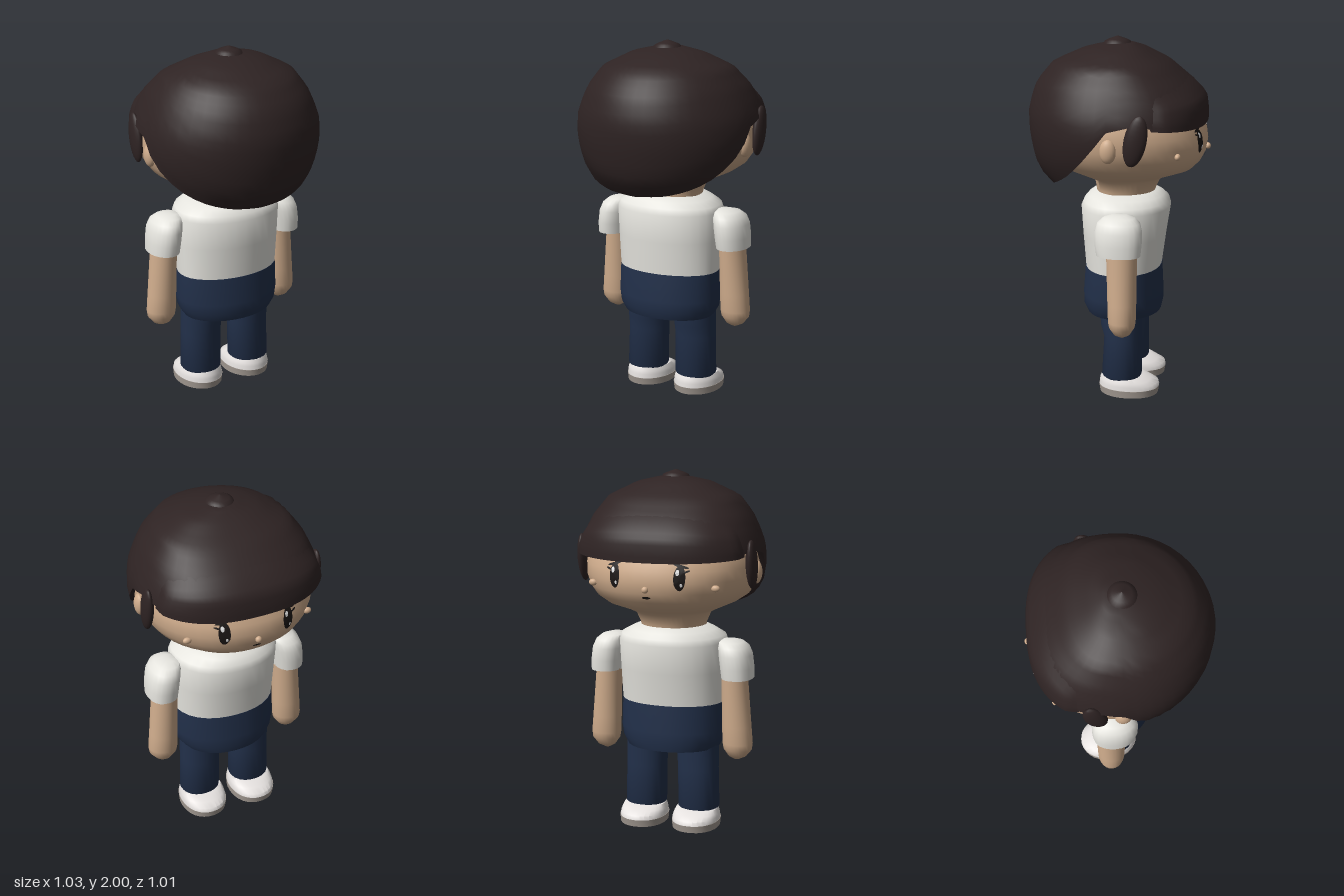
import * as THREE from 'three';
import { toCreasedNormals } from 'three/addons/utils/BufferGeometryUtils.js';

const mat = (name, color, side = THREE.FrontSide) => {
  const m = new THREE.MeshStandardMaterial({ color, side });
  m.name = name;
  return m;
};

// Half width, back depth and front depth of a profile [y, halfWidth, back, front] at height y
function section(rows, y) {
  let i = 0;
  while (i < rows.length - 2 && y > rows[i + 1][0]) i++;
  const a = rows[i], b = rows[i + 1];
  const t = THREE.MathUtils.clamp((y - a[0]) / (b[0] - a[0]), 0, 1);
  return [1, 2, 3].map((k) => a[k] + (b[k] - a[k]) * t);
}

// Point on a rounded section; angle 0 is the back (+z), PI is the face side (-z)
function ringPoint([w, back, front], angle, power = 2) {
  const s = Math.sin(angle), c = Math.cos(angle);
  const n = c < 0 ? power : 2;
  const r = Math.pow(Math.pow(Math.abs(s), n) + Math.pow(Math.abs(c), n), -1 / n);
  return [w * s * r, (c < 0 ? front : back) * c * r];
}

// Triangulate a grid of points (rows upward, columns anticlockwise), with optional caps
function gridGeometry(grid, capped, crease = 0.9) {
  const pos = [], idx = [], cols = grid[0].length;
  grid.forEach((row) => row.forEach((p) => pos.push(...p)));
  for (let i = 0; i < grid.length - 1; i++)
    for (let j = 0; j < cols - 1; j++) {
      const a = i * cols + j, c = a + cols;
      idx.push(a, a + 1, c, a + 1, c + 1, c);
    }
  if (capped)
    [0, grid.length - 1].forEach((r) => {
      const mid = pos.length / 3, sum = [0, 0, 0];
      for (let j = 0; j < cols - 1; j++) grid[r][j].forEach((v, k) => { sum[k] += v / (cols - 1); });
      pos.push(...sum);
      for (let j = 0; j < cols - 1; j++) {
        const a = r * cols + j;
        if (r) idx.push(a, a + 1, mid); else idx.push(a + 1, a, mid);
      }
    });
  const g = new THREE.BufferGeometry();
  g.setAttribute('position', new THREE.Float32BufferAttribute(pos, 3));
  g.setIndex(idx);
  return toCreasedNormals(g, crease);
}

// Closed body from rows [y, halfWidth, back, front, centreX]
function loft(rows, power = 2, segs = 32) {
  return gridGeometry(rows.map(([y, w, b, f, cx = 0]) =>
    Array.from({ length: segs + 1 }, (_, j) => {
      const [x, z] = ringPoint([w, b, f], (j / segs) * Math.PI * 2, power);
      return [x + cx, y, z];
    })), true);
}

const HEAD = [
  [1.1, 0.18, 0.12, 0.19], [1.16, 0.185, 0.13, 0.2], [1.22, 0.21, 0.14, 0.23], [1.245, 0.26, 0.2, 0.28],
  [1.29, 0.36, 0.3, 0.41], [1.33, 0.42, 0.36, 0.45], [1.38, 0.455, 0.4, 0.476], [1.44, 0.475, 0.43, 0.486],
  [1.5, 0.478, 0.44, 0.478], [1.56, 0.47, 0.44, 0.45], [1.7, 0.41, 0.4, 0.38], [1.83, 0.28, 0.28, 0.2],
  [1.9, 0.1, 0.1, 0.08],
];
const HAIR = [
  [1.19, 0.39, 0.365, 0.4], [1.25, 0.425, 0.43, 0.44], [1.32, 0.465, 0.465, 0.46], [1.4, 0.495, 0.485, 0.465],
  [1.5, 0.51, 0.5, 0.467], [1.6, 0.502, 0.503, 0.468], [1.68, 0.473, 0.485, 0.458], [1.76, 0.435, 0.455, 0.395],
  [1.86, 0.36, 0.37, 0.275], [1.935, 0.205, 0.2, 0.14], [1.965, 0.07, 0.07, 0.07], [1.968, 0.001, 0.001, 0.001],
];
// Lower hair edge [angle from the back in degrees, y]
const EDGE = [[0, 1.19], [25, 1.205], [42, 1.235], [57, 1.28], [70, 1.36], [80, 1.45],
  [90, 1.56], [105, 1.59], [125, 1.575], [180, 1.555]];

function hairEdge(angle) {
  const d = Math.abs(THREE.MathUtils.radToDeg(angle));
  const i = Math.max(1, EDGE.findIndex((e) => e[0] >= d - 1e-6));
  const [a, b] = [EDGE[i - 1], EDGE[i]];
  return a[1] + ((b[1] - a[1]) * (d - a[0])) / (b[0] - a[0]);
}

function hairCap() {
  const rows = 20, segs = 48, grid = [];
  for (let i = -1; i <= rows; i++) {
    const row = [];
    for (let j = 0; j <= segs; j++) {
      const angle = (j / segs) * Math.PI * 2 - Math.PI, low = hairEdge(angle);
      const y = low + (1.968 - low) * Math.sin((Math.max(i, 0) / rows) * Math.PI / 2);
      const [x, z] = ringPoint(section(HAIR, y), angle, 2.5);
      const k = i < 0 ? 0.88 : 1; // turned-in lower rim
      row.push([x * k, y + (i < 0 ? 0.03 : 0), z * k]);
    }
    grid.push(row);
  }
  return gridGeometry(grid, false, 1.1);
}

// Raised fringe sheet across the brow
function fringeSheet() {
  const rows = 8, segs = 32, grid = [];
  for (let i = -1; i <= rows; i++) {
    const row = [];
    for (let j = 0; j <= segs; j++) {
      const u = (j / segs) * 2 - 1, v = Math.max(i, 0) / rows;
      const angle = Math.PI + u * 1.08;
      const y = 1.545 + 0.02 * u * u + v * (0.25 - 0.09 * u * u);
      const lift = 0.02 * Math.min(1, (1 - Math.abs(u)) * 8) * Math.min(1, (1 - v) * 2.2) - 0.003;
      const [x, z] = ringPoint(section(HAIR, y), angle, 2.5);
      const k = i < 0 ? 0.93 : 1 + lift / 0.48;
      row.push([x * k, y + (i < 0 ? 0.015 : 0), z * k]);
    }
    grid.push(row);
  }
  return gridGeometry(grid, false, 1.1);
}

// Thin oval laid on the face surface
function facePatch(cx, cy, rx, ry, tilt, lift) {
  const g = new THREE.RingGeometry(0, 1, 24, 3), p = g.attributes.position;
  for (let i = 0; i < p.count; i++) {
    const a = -p.getX(i) * rx, b = p.getY(i) * ry;
    const x = cx + a * Math.cos(tilt) - b * Math.sin(tilt);
    const y = cy + a * Math.sin(tilt) + b * Math.cos(tilt);
    const [w, , f] = section(HEAD, y);
    p.setXYZ(i, x, y, -f * Math.pow(1 - Math.pow(Math.abs(x) / w, 2.2), 1 / 2.2) - lift);
  }
  g.computeVertexNormals();
  return g;
}

export function createModel() {
  const model = new THREE.Group();
  model.name = 'child';
  const skin = mat('skin', 0xcfac8c);
  const hair = mat('dark brown hair', 0x2e2323, THREE.DoubleSide);
  const shirt = mat('white shirt', 0xe6e5df, THREE.DoubleSide);
  const navy = mat('navy trousers', 0x22304a);
  const shoeWhite = mat('shoe white', 0xe6e2e0);
  const soleGrey = mat('sole grey', 0xa39a92);
  const black = mat('eye black', 0x1a1514, THREE.DoubleSide);
  const glint = mat('eye glint', 0xf2f2f2, THREE.DoubleSide);

  const add = (name, geometry, material, x = 0, y = 0, z = 0) => {
    const m = new THREE.Mesh(geometry, material);
    m.name = name;
    m.position.set(x, y, z);
    model.add(m);
    return m;
  };
  const ball = (name, material, x, y, z, sx, sy, sz) => {
    const m = add(name, new THREE.SphereGeometry(1, 20, 14), material, x, y, z);
    m.scale.set(sx, sy, sz);
    return m;
  };

  // Head and hair
  add('head', loft(HEAD, 2.2, 48), skin);
  add('hairCap', hairCap(), hair);
  add('fringe', fringeSheet(), hair);
  add('crownTuft', new THREE.LatheGeometry(
    [[0.085, 1.945], [0.07, 1.972], [0.05, 1.982], [0, 2]].map(([r, y]) => new THREE.Vector2(r, y)), 24), hair, 0, 0, 0.015);
  ball('nose', skin, 0, 1.405, -0.488, 0.018, 0.018, 0.016);
  add('mouth', facePatch(0, 1.36, 0.024, 0.007, 0, 0.005), black);

  // Torso
  add('shirtBody', loft([
    [0.715, 0.295, 0.19, 0.235], [0.9, 0.303, 0.205, 0.26], [1.06, 0.308, 0.215, 0.285],
    [1.095, 0.295, 0.2, 0.275], [1.125, 0.24, 0.175, 0.25], [1.15, 0.18, 0.14, 0.215],
  ], 2.2), shirt);
  add('hips', loft([
    [0.455, 0.265, 0.185, 0.235], [0.5, 0.292, 0.203, 0.245], [0.56, 0.301, 0.204, 0.245], [0.718, 0.296, 0.192, 0.237],
  ], 2.2), navy);

  for (const s of [1, -1]) {
    const side = s > 0 ? 'left' : 'right';
    // Face details
    ball(side + 'Ear', skin, s * 0.47, 1.455, -0.005, 0.032, 0.065, 0.044);
    ball(side + 'Sideburn', hair, s * 0.483, 1.515, -0.15, 0.03, 0.137, 0.06).rotation.x = -0.2;
    ball(side + 'Cheek', skin, s * 0.345, 1.41, -0.357, 0.024, 0.018, 0.016);
    add(side + 'Eye', facePatch(s * 0.18, 1.47, 0.03, 0.066, 0, 0.006), black);
    add(side + 'EyeGlint', facePatch(s * 0.18 + 0.01, 1.5, 0.01, 0.016, 0, 0.009), glint);
    add(side + 'EyeGlintSmall', facePatch(s * 0.18 - 0.01, 1.435, 0.007, 0.01, 0, 0.009), glint);
    add(side + 'UpperLash', facePatch(s * 0.185, 1.532, 0.04, 0.007, -s * 0.25, 0.009), black);
    add(side + 'OuterLash', facePatch(s * 0.215, 1.505, 0.018, 0.005, s * 0.3, 0.009), black);

    // Arm and sleeve
    add(side + 'Sleeve', loft([
      [0.87, 0.087, 0.118, 0.122, s * 0.385], [0.93, 0.09, 0.128, 0.128, s * 0.381], [1.0, 0.09, 0.128, 0.128, s * 0.372],
      [1.045, 0.083, 0.115, 0.115, s * 0.36], [1.07, 0.068, 0.085, 0.085, s * 0.345], [1.082, 0.035, 0.04, 0.04, s * 0.335],
    ], 2.4, 24), shirt, 0, 0, -0.045);
    add(side + 'Arm', loft([
      [0.405, 0.012, 0.01, 0.01, s * 0.388], [0.425, 0.05, 0.045, 0.045, s * 0.391], [0.465, 0.08, 0.07, 0.07, s * 0.393],
      [0.5, 0.085, 0.076, 0.076, s * 0.392], [0.6, 0.082, 0.08, 0.078, s * 0.386], [0.9, 0.072, 0.09, 0.08, s * 0.37],
    ], 2, 24), skin, 0, 0, -0.068);

    // Leg
    add(side + 'Leg', loft([
      [0.09, 0.108, 0.108, 0.1, s * 0.158], [0.105, 0.117, 0.118, 0.108, s * 0.158], [0.33, 0.116, 0.105, 0.108, s * 0.154],
      [0.4, 0.118, 0.125, 0.11, s * 0.152], [0.52, 0.116, 0.13, 0.112, s * 0.15],
    ], 2.2, 24), navy, 0, 0, -0.038);

    // Shoe: sole and a low upper that slopes to the toe
    add(side + 'Sole', loft([
      [0, 0.132, 0.165, 0.165, s * 0.156], [0.04, 0.135, 0.172, 0.172, s * 0.156],
    ], 2.2), soleGrey, 0, 0, -0.075);
    add(side + 'ShoeUpper', loft([
      [0.04, 0.132, 0.17, 0.172, s * 0.156], [0.062, 0.13, 0.168, 0.166, s * 0.156], [0.08, 0.126, 0.165, 0.125, s * 0.156],
      [0.1, 0.116, 0.155, 0.08, s * 0.156],
    ], 2.2), shoeWhite, 0, 0, -0.075);
  }
  return model;
}
